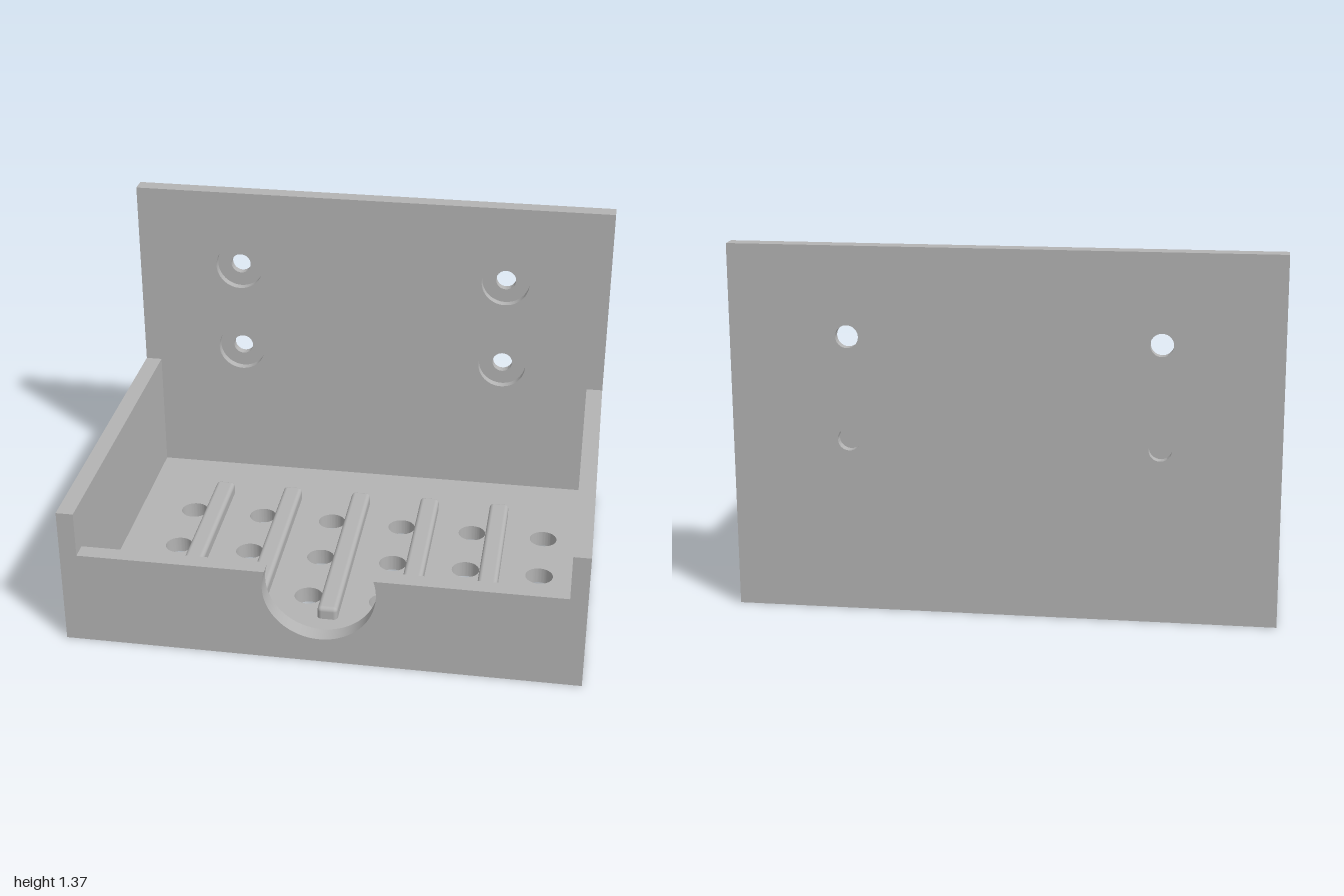
import * as THREE from 'three';
import { toCreasedNormals } from 'three/addons/utils/BufferGeometryUtils.js';
import { RoundedBoxGeometry } from 'three/addons/geometries/RoundedBoxGeometry.js';

const W = 1, D = 0.698, T = 0.067;           // half width, half depth, wall thickness
const BACK_H = 1.367, SIDE_H = 0.568, LIP_H = 0.385;

export function createModel() {
  const group = new THREE.Group();
  const grey = new THREE.MeshStandardMaterial({ color: 0xb4b4b4 });
  grey.name = 'grey plastic';

  const add = (name, geometry, x = 0, y = 0, z = 0) => {
    const mesh = new THREE.Mesh(geometry, grey);
    mesh.name = name;
    mesh.position.set(x, y, z);
    group.add(mesh);
  };
  const extrude = (shape, depth) => toCreasedNormals(
    new THREE.ExtrudeGeometry(shape, { depth, bevelEnabled: false, curveSegments: 32 }), 0.6);
  const rect = (x0, y0, x1, y1) => new THREE.Shape([
    new THREE.Vector2(x0, y0), new THREE.Vector2(x1, y0),
    new THREE.Vector2(x1, y1), new THREE.Vector2(x0, y1)]);
  const punch = (shape, xs, ys, r) => {
    for (const x of xs) for (const y of ys)
      shape.holes.push(new THREE.Path().absarc(x, y, r, 0, Math.PI * 2, true));
    return shape;
  };

  // Back plate in two layers: screw holes behind, wider counterbores in front
  const screwX = [-0.567, 0.567], screwY = [0.653, 1.036];
  const plate = (r) => punch(rect(-W, 0, W, BACK_H), screwX, screwY, r);
  add('backPlateRear', extrude(plate(0.042), T / 2), 0, 0, -D);
  add('backPlateFront', extrude(plate(0.1), T / 2), 0, 0, -D + T / 2);

  // Floor with drain holes
  const floor = punch(rect(-W + T, -D + T, W - T, D - T),
    [-0.7, -0.4, -0.1, 0.2, 0.5, 0.8], [-0.203, 0.08, 0.364], 0.056);
  add('floor', extrude(floor, T).rotateX(Math.PI / 2), 0, T, 0);

  // Side walls
  for (const s of [1, -1])
    add(s > 0 ? 'leftWall' : 'rightWall',
      new THREE.BoxGeometry(T, SIDE_H, 2 * (D - T)), s * (W - T / 2), SIDE_H / 2, 0);

  // Front lip with raised corners and a round notch
  const r = 0.217, cy = 0.319, a = Math.asin((LIP_H - cy) / r);
  const lip = new THREE.Shape();
  lip.moveTo(-W, 0);
  lip.lineTo(W, 0);
  lip.lineTo(W, SIDE_H);
  lip.lineTo(W - T, SIDE_H);
  lip.lineTo(W - T, LIP_H);
  lip.lineTo(r * Math.cos(a), LIP_H);
  lip.absarc(0, cy, r, a, Math.PI - a, true);
  lip.lineTo(-W + T, LIP_H);
  lip.lineTo(-W + T, SIDE_H);
  lip.lineTo(-W, SIDE_H);
  add('frontLip', extrude(lip, T), 0, 0, D - T);

  // Rounded ribs, sunk slightly into the floor
  for (let i = -2; i <= 2; i++)
    add('rib', new RoundedBoxGeometry(0.08, 0.08, 0.9, 3, 0.017), i * 0.3, 0.077, 0.064);

  return group;
}
